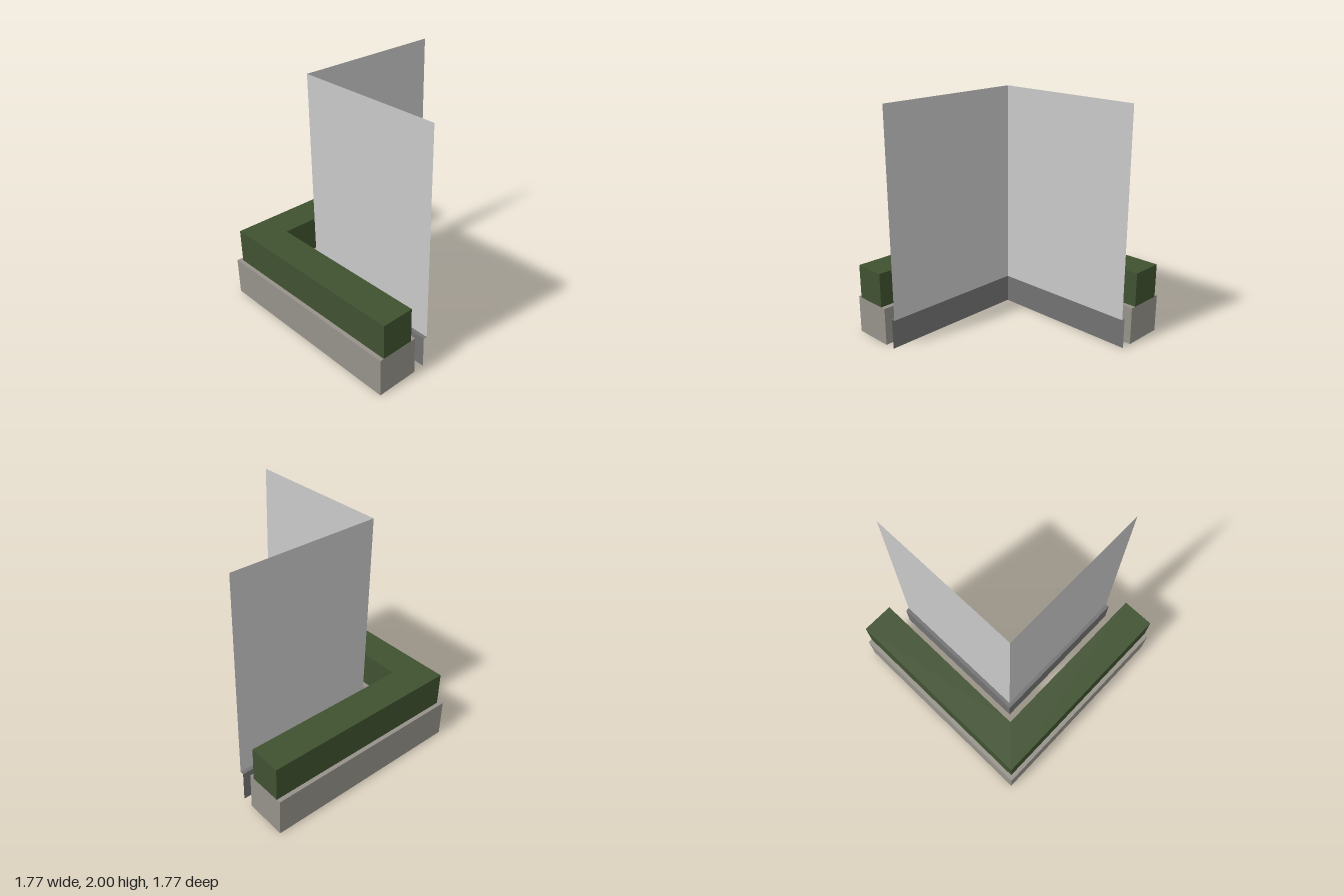
import * as THREE from 'three';

const END = 0.885; // where both arms of the L stop

// Sweeps a profile of [offset, height] points around the L-shaped corner.
function sweepCorner(profile, capped) {
  const section = (s) => profile.map(([d, y]) => [
    [END, y, d], [-d, y, d], [-d, y, -END],
  ][s]);
  const pos = [];
  const quad = (a, b, c, d) => pos.push(...a, ...b, ...c, ...a, ...c, ...d);
  for (let s = 0; s < 2; s++) {
    const p = section(s), q = section(s + 1);
    for (let i = 0; i < profile.length - 1; i++) quad(q[i], p[i], p[i + 1], q[i + 1]);
  }
  if (capped) {
    const a = section(0), c = section(2);
    quad(a[0], a[3], a[2], a[1]);
    quad(c[0], c[1], c[2], c[3]);
  }
  const geo = new THREE.BufferGeometry();
  geo.setAttribute('position', new THREE.Float32BufferAttribute(pos, 3));
  geo.computeVertexNormals();
  return geo;
}

// Box-shaped profile, open underneath
const channel = (outer, inner, bottom, top) =>
  [[outer, bottom], [outer, top], [inner, top], [inner, bottom]];

function material(name, color) {
  const m = new THREE.MeshStandardMaterial({ color, side: THREE.DoubleSide });
  m.name = name;
  return m;
}

export function createModel() {
  const group = new THREE.Group();
  group.name = 'cornerPlanterWithScreen';
  const add = (name, geo, mat) => {
    const mesh = new THREE.Mesh(geo, mat);
    mesh.name = name;
    group.add(mesh);
  };

  // Stone planter, open at the bottom
  add('planter', sweepCorner(channel(0.885, 0.53, 0, 0.323), true), material('stone', 0x96928a));
  // Clipped hedge standing on the planter
  add('hedge', sweepCorner(channel(0.85, 0.573, 0.323, 0.615), true), material('hedgeGreen', 0x405231));
  // Plinth skin with a narrow ledge under the screen
  add('plinth', sweepCorner([[0.435, 0], [0.435, 0.262], [0.403, 0.262]], false), material('darkGrey', 0x727272));
  // Tall thin screen wall
  add('screenWall', sweepCorner([[0.403, 0.262], [0.403, 2]], false), material('paleGrey', 0xc9c9c9));

  return group;
}
